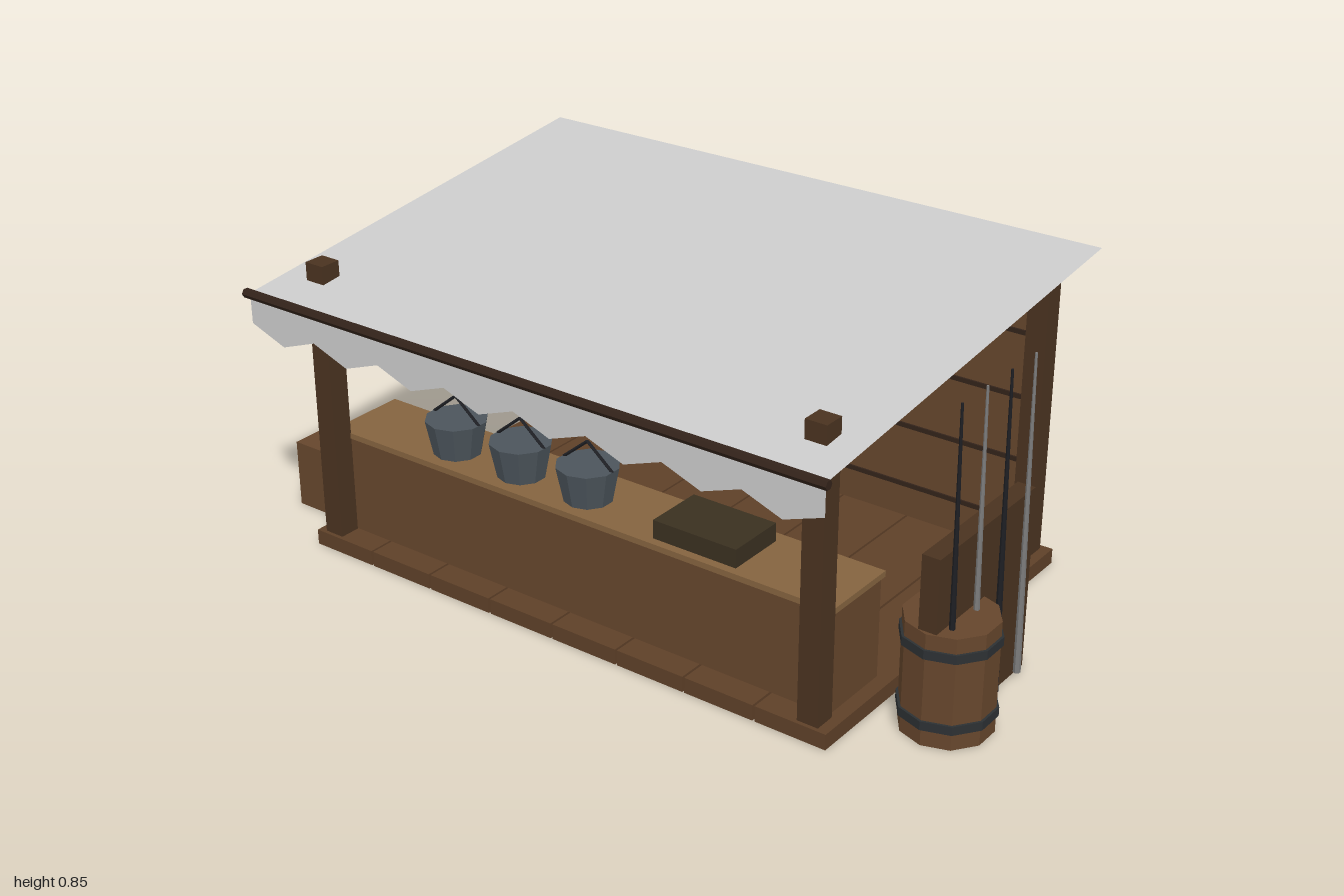
import * as THREE from 'three';

const mat = (color, extra = {}) =>
  new THREE.MeshStandardMaterial({ color, flatShading: true, ...extra });

const M = {
  plank: mat(0x5e4028),
  wall: mat(0x66462c),
  post: mat(0x4a3320),
  dark: mat(0x33231a),
  top: mat(0x84633f),
  tray: mat(0x3a3020),
  metal: mat(0x4c555c),
  band: mat(0x2c3033),
  iron: mat(0x1e1f24),
  steel: mat(0x7d7d7d),
  cloth: mat(0xcccccc, { side: THREE.DoubleSide }),
};

export function createModel() {
  const model = new THREE.Group();

  const add = (name, geometry, material, x = 0, y = 0, z = 0, parent = model) => {
    const mesh = new THREE.Mesh(geometry, material);
    mesh.name = name;
    mesh.position.set(x, y, z);
    parent.add(mesh);
    return mesh;
  };

  // Box given by its min and max on each axis
  const box = (name, material, [x0, x1], [y0, y1], [z0, z1]) =>
    add(name, new THREE.BoxGeometry(x1 - x0, y1 - y0, z1 - z0), material,
      (x0 + x1) / 2, (y0 + y1) / 2, (z0 + z1) / 2);

  // Thin round bar between two points
  const bar = (name, material, a, b, rBottom, rTop, sides, parent = model) => {
    const from = new THREE.Vector3(...a), to = new THREE.Vector3(...b);
    const dir = to.clone().sub(from);
    const mid = from.clone().add(to).multiplyScalar(0.5);
    const mesh = add(name, new THREE.CylinderGeometry(rTop, rBottom, dir.length(), sides),
      material, mid.x, mid.y, mid.z, parent);
    mesh.quaternion.setFromUnitVectors(new THREE.Vector3(0, 1, 0), dir.normalize());
    return mesh;
  };

  // Floor planks
  const step = 1.545 / 8;
  for (let i = 0; i < 8; i++) {
    const x = -0.81 + i * step;
    box('floorPlank', M.plank, [x + 0.003, x + step - 0.003], [0, 0.04], [-0.56, 0.465]);
  }

  // Corner posts
  for (const x of [-0.785, 0.65])
    for (const z of [-0.545, 0.4])
      box('post', M.post, [x, x + 0.055], [0.035, 0.77], [z, z + 0.055]);

  // Back wall with board seams on its inner face
  box('backWall', M.wall, [-0.75, 0.67], [0.04, 0.725], [-0.53, -0.492]);
  for (const y of [0.13, 0.295, 0.463, 0.63])
    box('wallSeam', M.dark, [-0.73, 0.65], [y - 0.006, y + 0.006], [-0.493, -0.487]);

  // Counter
  box('counterBody', M.wall, [-0.775, 0.695], [0.04, 0.295], [0.2, 0.398]);
  box('counterTop', M.top, [-0.78, 0.7], [0.295, 0.31], [0.19, 0.402]);
  for (let i = 1; i < 8; i++) {
    const x = -0.78 + i * 0.185;
    box('counterSeam', M.dark, [x - 0.008, x + 0.008], [0.04, 0.295], [0.193, 0.202]);
  }

  // Tray on the counter
  box('tray', M.tray, [0.2, 0.43], [0.31, 0.357], [0.225, 0.38]);

  // Buckets with bent wire handles
  for (const x of [-0.45, -0.245, -0.04]) {
    const bucket = new THREE.Group();
    bucket.name = 'bucket';
    bucket.position.set(x, 0.31, 0.315);
    model.add(bucket);
    add('bucketBody', new THREE.CylinderGeometry(0.078, 0.06, 0.09, 10), M.metal, 0, 0.045, 0, bucket);
    for (const s of [-1, 1])
      bar('bucketHandle', M.iron, [s * 0.073, 0.088, 0], [0, 0.148, 0], 0.004, 0.004, 5, bucket);
  }

  // Sloping canopy sheet
  const canopy = new THREE.BufferGeometry();
  canopy.setAttribute('position', new THREE.Float32BufferAttribute([
    -0.86, 0.71, 0.57, 0.78, 0.71, 0.57, 0.78, 0.845, -0.59, -0.86, 0.845, -0.59], 3));
  canopy.setIndex([0, 1, 2, 0, 2, 3]);
  canopy.computeVertexNormals();
  add('canopy', canopy, M.cloth);

  // Zigzag valance along the front edge
  const valance = new THREE.Shape();
  valance.moveTo(0.78, 0.71);
  valance.lineTo(-0.86, 0.71);
  for (let i = 0; i <= 16; i++)
    valance.lineTo(-0.86 + i * 0.1025, i % 2 ? 0.595 : 0.632);
  add('valance', new THREE.ShapeGeometry(valance), M.cloth, 0, 0, 0.57);

  // Front canopy rod
  bar('canopyRod', M.dark, [-0.87, 0.71, 0.575], [0.79, 0.71, 0.575], 0.012, 0.012, 6);

  // Small crate at one end
  box('crate', M.wall, [-1, -0.82], [0, 0.18], [0.18, 0.337]);

  // Barrel with two hoops
  const barrel = new THREE.Group();
  barrel.name = 'barrel';
  barrel.position.set(0.885, 0, 0.215);
  model.add(barrel);
  add('barrelBody', new THREE.CylinderGeometry(0.11, 0.11, 0.28, 10), M.wall, 0, 0.14, 0, barrel);
  for (const y of [0.053, 0.232])
    add('barrelHoop', new THREE.CylinderGeometry(0.116, 0.116, 0.022, 10), M.band, 0, y, 0, barrel);

  // Rack board with four leaning rods
  box('rackBoard', M.post, [0.86, 0.905], [0, 0.462], [-0.095, 0.315]);
  for (let i = 0; i < 4; i++) {
    const z = -0.045 + i * 0.103;
    bar('rod', i % 2 ? M.iron : M.steel, [0.918, 0.012, z], [0.921, 0.82, z + 0.028], 0.009, 0.003, 6);
  }

  return model;
}
